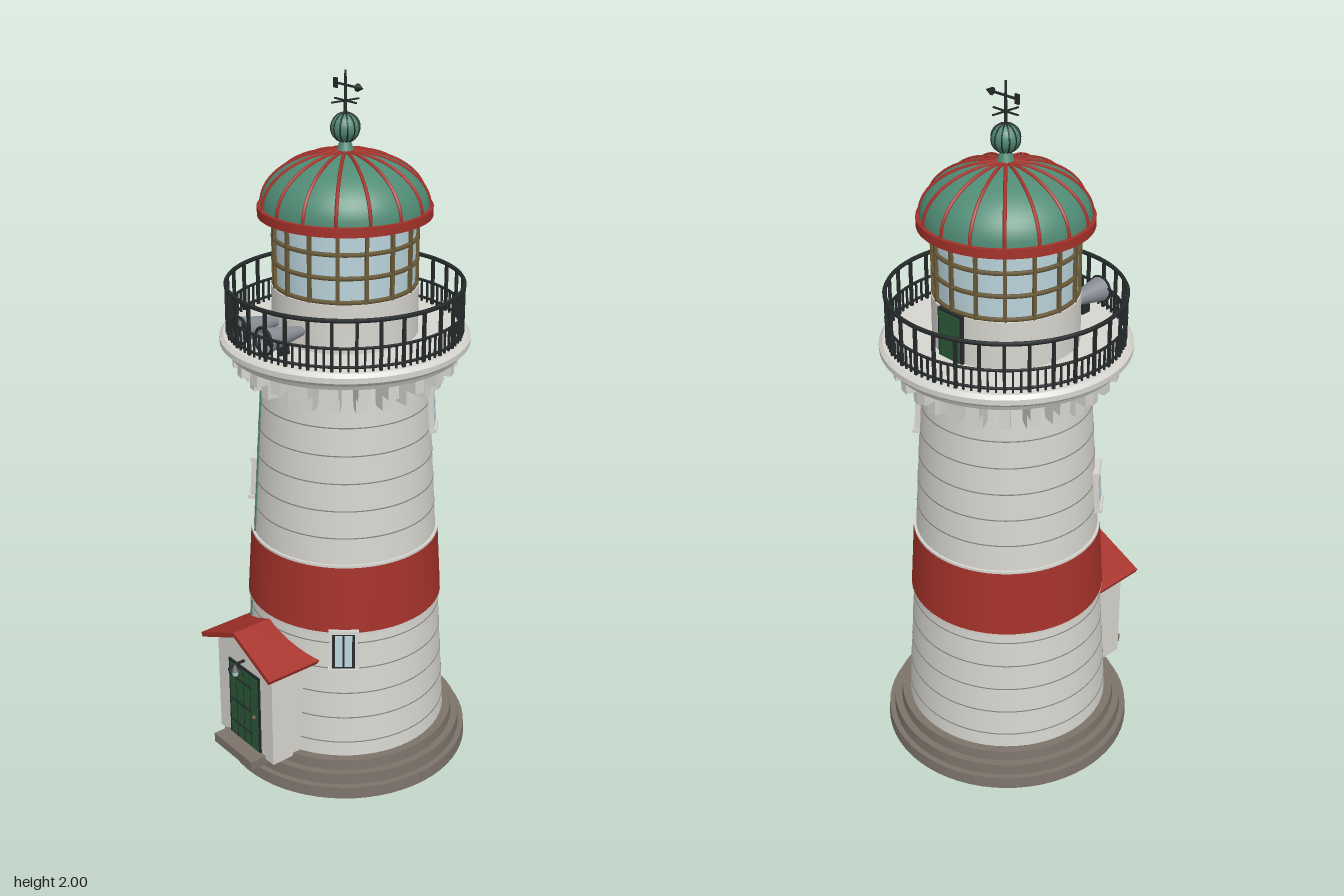
import * as THREE from 'three';

const mat = (name, color, side = THREE.FrontSide) => {
  const m = new THREE.MeshStandardMaterial({ color, side });
  m.name = name;
  return m;
};

export function createModel() {
  const white = mat('whitewash', 0xd6d5cf), red = mat('red paint', 0xa5322a);
  const copper = mat('green copper', 0x4f8b74), stone = mat('plinth stone', 0x7c736a);
  const glass = mat('pale glass', 0xb9d3da), iron = mat('dark iron', 0x252a2b);
  const green = mat('door green', 0x2a5837), brass = mat('aged brass', 0x6a5a38);
  const steel = mat('horn grey', 0x868c92, THREE.DoubleSide), mortar = mat('mortar grey', 0x85857f);

  const root = new THREE.Group();
  root.name = 'lighthouse';
  const tower = new THREE.Group();
  tower.name = 'tower';
  tower.position.z = -0.027;
  const porch = new THREE.Group();
  porch.name = 'porch';
  root.add(tower, porch);

  const add = (parent, name, geo, m, x = 0, y = 0, z = 0) => {
    const mesh = new THREE.Mesh(geo, m);
    mesh.name = name;
    mesh.position.set(x, y, z);
    parent.add(mesh);
    return mesh;
  };
  const box = (p, name, m, w, h, d, x, y, z) => add(p, name, new THREE.BoxGeometry(w, h, d), m, x, y, z);
  const cyl = (p, name, m, rt, rb, y0, y1, seg = 64) =>
    add(p, name, new THREE.CylinderGeometry(rt, rb, y1 - y0, seg), m, 0, (y0 + y1) / 2, 0);
  const ring = (p, name, m, r, tube, y, seg = 96) => {
    const t = add(p, name, new THREE.TorusGeometry(r, tube, 6, seg), m, 0, y, 0);
    t.rotation.x = Math.PI / 2;
    return t;
  };
  const lathe = (p, name, m, pts, seg = 64) =>
    add(p, name, new THREE.LatheGeometry(pts.map(([x, y]) => new THREE.Vector2(x, y)), seg), m);
  // Group turned about the tower axis; its local +z points outward
  const spoke = (name, angle) => {
    const g = new THREE.Group();
    g.name = name;
    g.rotation.y = angle;
    tower.add(g);
    return g;
  };
  const around = (name, n, fn, offset = 0) => {
    for (let i = 0; i < n; i++) fn(spoke(name, offset + (i / n) * Math.PI * 2), i);
  };
  const wallR = y => 0.3 - 0.066 * (y - 0.1) / 1.07;
  const tilt = Math.atan(0.066 / 1.07);

  // Stepped plinth
  cyl(tower, 'plinthStep', stone, 0.366, 0.368, 0, 0.036);
  cyl(tower, 'plinthStep', stone, 0.348, 0.35, 0.036, 0.07);
  cyl(tower, 'plinthStep', stone, 0.324, 0.327, 0.07, 0.1);

  // Tapering shaft, course lines and painted band
  cyl(tower, 'shaft', white, wallR(1.25), wallR(0.1), 0.1, 1.25);
  for (let i = 0; i < 13; i++) {
    const y = 0.145 + 0.08 * i;
    if (y < 0.5 || y > 0.7) cyl(tower, 'courseLine', mortar, wallR(y) + 0.0008, wallR(y) + 0.001, y - 0.0015, y + 0.0015);
  }
  cyl(tower, 'redBand', red, wallR(0.7) + 0.007, wallR(0.5) + 0.007, 0.5, 0.7);
  for (const y of [0.497, 0.703]) cyl(tower, 'bandTrim', white, wallR(y) + 0.007, wallR(y) + 0.007, y - 0.004, y + 0.004);

  // Windows climbing the shaft
  for (const [deg, y] of [[50.5, 0.445], [-51, 0.835], [135, 1.08]]) {
    const w = spoke('window', THREE.MathUtils.degToRad(deg));
    const f = new THREE.Group();
    f.position.set(0, y, wallR(y));
    f.rotation.x = -tilt;
    w.add(f);
    box(f, 'windowFrame', iron, 0.066, 0.108, 0.02, 0, 0, 0);
    for (const s of [-1, 1]) {
      box(f, 'windowPane', glass, 0.021, 0.096, 0.004, s * 0.0135, 0, 0.01);
      box(f, 'windowJamb', white, 0.008, 0.108, 0.024, s * 0.036, 0, 0);
    }
    box(f, 'windowLintel', white, 0.084, 0.012, 0.03, 0, 0.06, 0);
    box(f, 'windowSill', white, 0.088, 0.01, 0.036, 0, -0.059, 0);
  }

  // Downpipe from the gallery
  const a = -0.44;
  const pipe = [1.2, 0.4].map(y => new THREE.Vector3(Math.sin(a) * wallR(y), y, Math.cos(a) * wallR(y)));
  add(tower, 'downpipe', new THREE.TubeGeometry(new THREE.LineCurve3(...pipe), 4, 0.004, 6), copper);

  // Corbels and gallery deck
  around('corbel', 24, g => {
    box(g, 'corbelUpper', white, 0.03, 0.045, 0.1, 0, 1.23, 0.26);
    box(g, 'corbelLower', white, 0.03, 0.045, 0.07, 0, 1.187, 0.24);
  });
  const deck = [[0.2, 1.25], [0.322, 1.25], [0.328, 1.262], [0.344, 1.275], [0.344, 1.29], [0.334, 1.3], [0.01, 1.3]];
  for (let i = 0; i < deck.length - 1; i++) lathe(tower, 'galleryDeck', white, [deck[i], deck[i + 1]]);

  // Gallery railing
  for (const [y, t] of [[1.437, 0.006], [1.363, 0.004], [1.312, 0.004]]) ring(tower, 'handrail', iron, 0.322, t, y);
  around('railing', 96, (g, i) => {
    if (i % 3) box(g, 'picket', iron, 0.005, 0.062, 0.005, 0, 1.331, 0.322);
    else box(g, 'railPost', iron, 0.008, 0.138, 0.008, 0, 1.369, 0.322);
  });

  // Lantern room
  cyl(tower, 'lanternWall', white, 0.2, 0.2, 1.3, 1.435);
  cyl(tower, 'lanternGlass', glass, 0.19, 0.19, 1.435, 1.632);
  for (const y of [1.44, 1.505, 1.568, 1.622]) ring(tower, 'glazingRing', brass, 0.193, 0.006, y, 64);
  around('glazingBars', 16, g => box(g, 'glazingBar', brass, 0.009, 0.196, 0.012, 0, 1.533, 0.193));

  // Service door at the rear of the lantern
  const rear = spoke('galleryDoor', Math.PI);
  box(rear, 'doorFrame', iron, 0.09, 0.137, 0.012, 0, 1.369, 0.198);
  box(rear, 'doorLeaf', green, 0.076, 0.128, 0.008, 0, 1.366, 0.203);

  // Fog horns facing forward
  for (const s of [-1, 1]) {
    const x = s * 0.053;
    const horn = new THREE.CylinderGeometry(0.036, 0.012, 0.13, 24, 1, true).rotateX(Math.PI / 2);
    add(tower, 'hornBell', horn, steel, x, 1.352, 0.25);
    add(tower, 'hornThroat', new THREE.CircleGeometry(0.026, 24), iron, x, 1.352, 0.29);
    add(tower, 'hornRim', new THREE.TorusGeometry(0.036, 0.004, 6, 24), iron, x, 1.352, 0.314);
    box(tower, 'hornStand', iron, 0.014, 0.05, 0.03, x, 1.322, 0.25);
  }

  // Ribbed dome
  cyl(tower, 'domeRim', red, 0.234, 0.234, 1.625, 1.65);
  const arc = (r, h, y0, n = 14) => Array.from({ length: n + 1 }, (_, i) => {
    const t = (i / n) * Math.PI / 2;
    return [Math.max(r * Math.cos(t), 0.0005), y0 + h * Math.sin(t)];
  });
  lathe(tower, 'dome', copper, arc(0.224, 0.143, 1.648));
  const ribPath = new THREE.CatmullRomCurve3(arc(0.225, 0.144, 1.648).map(([r, y]) => new THREE.Vector3(0, y, r)));
  const ribGeo = new THREE.TubeGeometry(ribPath, 20, 0.005, 6);
  around('domeRibs', 16, g => add(g, 'domeRib', ribGeo, red));

  // Finial ball
  cyl(tower, 'finialNeck', copper, 0.014, 0.026, 1.785, 1.82, 24);
  add(tower, 'finialBall', new THREE.SphereGeometry(0.038, 24, 16), copper, 0, 1.853, 0);
  const ballRib = new THREE.TorusGeometry(0.038, 0.0022, 5, 32);
  for (let i = 0; i < 6; i++) add(tower, 'finialRib', ballRib, iron, 0, 1.853, 0).rotation.y = i * Math.PI / 6;

  // Weather vane
  cyl(tower, 'vaneSpindle', iron, 0.003, 0.005, 1.885, 2, 8);
  box(tower, 'vaneCross', iron, 0.09, 0.004, 0.004, 0, 1.922, 0);
  box(tower, 'vaneCross', iron, 0.004, 0.004, 0.09, 0, 1.922, 0);
  box(tower, 'vaneArm', iron, 0.1, 0.005, 0.005, 0.008, 1.962, 0);
  box(tower, 'vaneTail', iron, 0.014, 0.026, 0.005, -0.04, 1.962, 0);
  add(tower, 'vaneHead', new THREE.ConeGeometry(0.011, 0.024, 8).rotateZ(-Math.PI / 2), iron, 0.06, 1.962, 0);

  // Entrance porch with gabled front
  const gable = new THREE.Shape([[-0.13, 0.09], [0.13, 0.09], [0.13, 0.41], [0, 0.468], [-0.13, 0.41]]
    .map(p => new THREE.Vector2(...p)));
  add(porch, 'porchWalls', new THREE.ExtrudeGeometry(gable, { depth: 0.2, bevelEnabled: false }), white, 0, 0, 0.14);
  for (const s of [-1, 1]) {
    const slope = box(porch, 'porchRoof', red, 0.182, 0.014, 0.2, s * 0.0815, 0.437, 0.274);
    slope.rotation.z = -s * 0.435;
  }
  box(porch, 'doorstep', stone, 0.184, 0.028, 0.07, 0, 0.086, 0.356);

  // Front door
  box(porch, 'doorFrame', iron, 0.148, 0.254, 0.01, 0, 0.227, 0.339);
  box(porch, 'doorLeaf', green, 0.13, 0.243, 0.008, 0, 0.223, 0.342);
  for (const y of [0.15, 0.225, 0.305]) box(porch, 'doorStrap', iron, 0.1, 0.005, 0.004, -0.01, y, 0.346);
  for (const x of [-0.033, 0, 0.033]) box(porch, 'doorSeam', iron, 0.002, 0.24, 0.002, x, 0.223, 0.346);
  add(porch, 'doorKnob', new THREE.SphereGeometry(0.006, 12, 8), brass, 0.052, 0.215, 0.349);

  // Porch lamp
  box(porch, 'lampBracket', iron, 0.006, 0.006, 0.04, 0, 0.378, 0.355);
  add(porch, 'lampShade', new THREE.ConeGeometry(0.021, 0.02, 16), iron, 0, 0.372, 0.373);
  add(porch, 'lampGlass', new THREE.CylinderGeometry(0.011, 0.008, 0.02, 12), glass, 0, 0.352, 0.373);

  return root;
}
